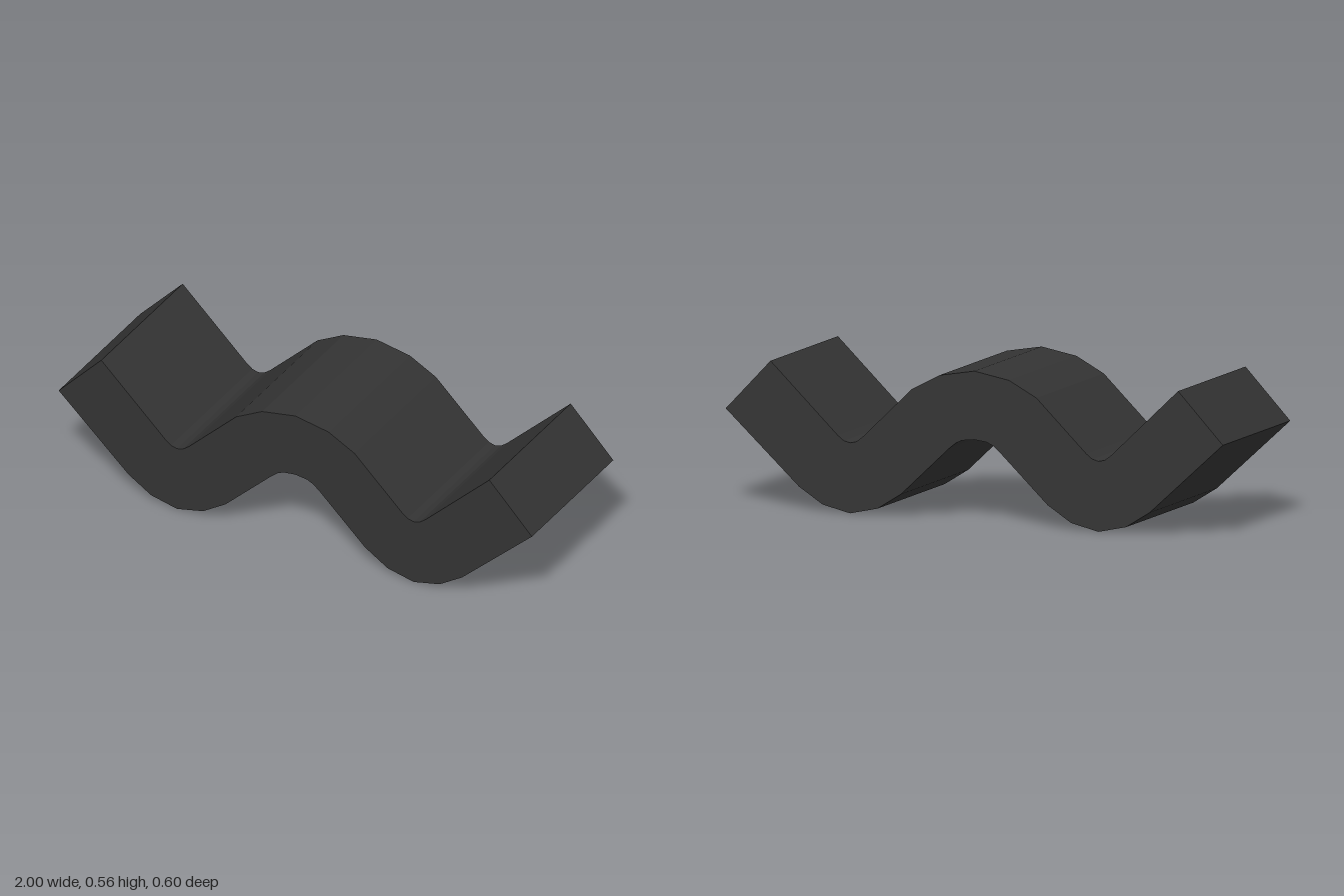
import * as THREE from 'three';

export function createModel() {
  const group = new THREE.Group();
  const charcoal = new THREE.MeshStandardMaterial({ color: 0x333333 });
  charcoal.name = 'charcoal';

  // Left half of the wave: upper edge from the crest out to the tip
  const upper = [[0, 0.563], [0.14, 0.538], [0.25, 0.48], [0.45, 0.287], [0.475, 0.268],
    [0.5, 0.262], [0.525, 0.268], [0.55, 0.287], [0.82, 0.545]];
  // Lower edge from the tip back to the middle
  const lower = [[1, 0.356], [0.705, 0.085], [0.61, 0.025], [0.5, 0], [0.39, 0.025],
    [0.295, 0.085], [0.1, 0.27], [0.075, 0.29], [0.05, 0.302], [0, 0.308]];

  // Mirror the half outline across x = 0
  const half = [...upper, ...lower];
  const mirrored = half.slice(1, -1).reverse().map(([x, y]) => [-x, y]);
  const outline = [...half, ...mirrored].map(([x, y]) => new THREE.Vector2(x, y));

  // Constant section run from back to front
  const geometry = new THREE.ExtrudeGeometry(new THREE.Shape(outline), {
    depth: 0.6, bevelEnabled: false, steps: 1,
  });
  geometry.translate(0, 0, -0.3);

  const wave = new THREE.Mesh(geometry, charcoal);
  wave.name = 'waveStrip';
  group.add(wave);
  return group;
}
